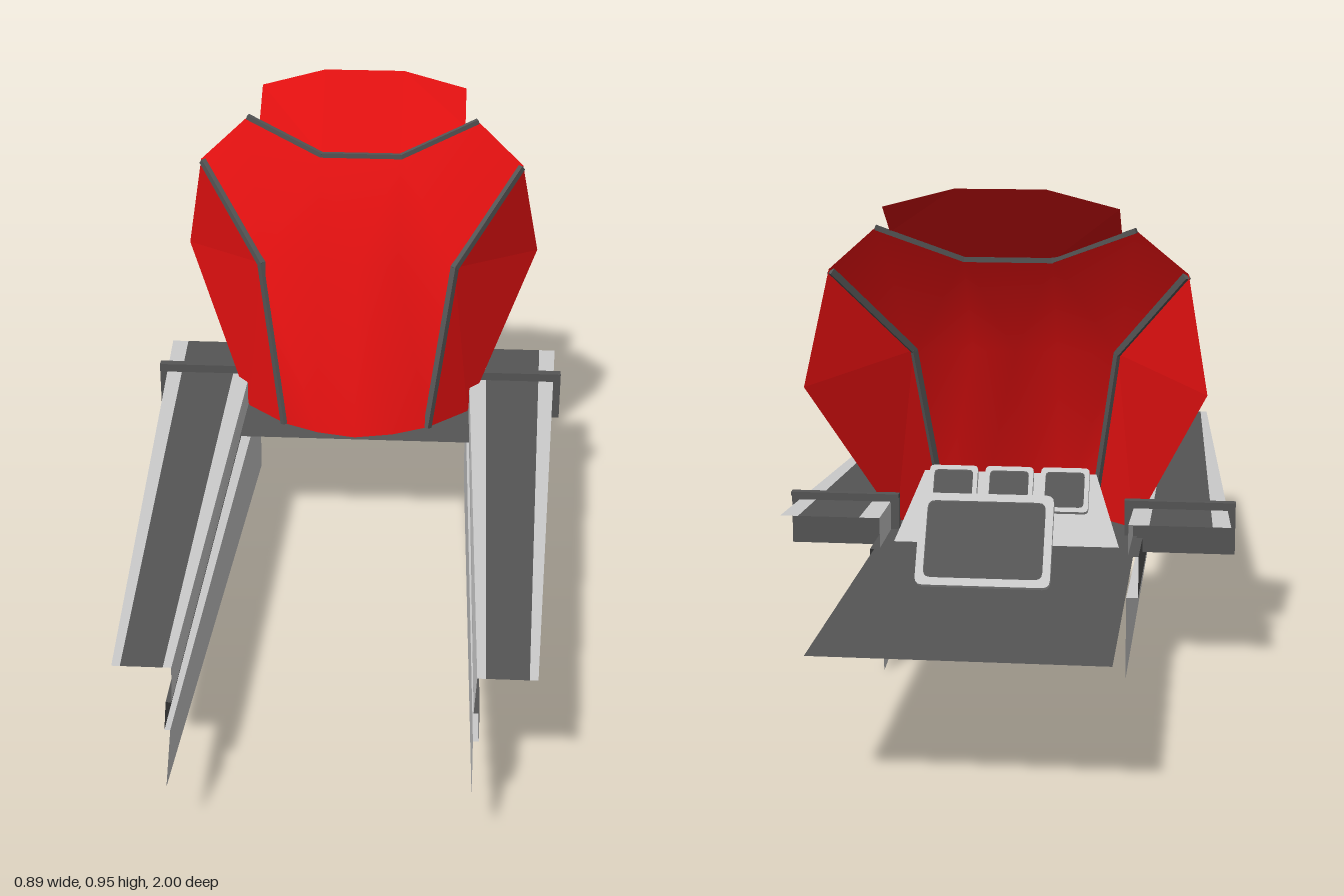
import * as THREE from 'three';

const LIGHT = 0xcccccc, DARK = 0x555555, RED = 0xe01010;
const material = (color, flatShading = true) =>
  new THREE.MeshStandardMaterial({ color, flatShading, side: THREE.DoubleSide });

// Thin panel from corner points and triangles
function panel(name, points, faces, color, flat = true) {
  const g = new THREE.BufferGeometry();
  g.setAttribute('position', new THREE.Float32BufferAttribute(points.flat(), 3));
  g.setIndex(faces.flat());
  g.computeVertexNormals();
  const mesh = new THREE.Mesh(g, material(color, flat));
  mesh.name = name;
  return mesh;
}

// Flat convex panel, corners anticlockwise seen from its front
function fan(name, points, color) {
  const faces = [];
  for (let i = 1; i < points.length - 1; i++) faces.push([0, i, i + 1]);
  return panel(name, points, faces, color);
}

// Square-section strip along a bent path
function strip(name, path, size = 0.013) {
  const group = new THREE.Group();
  group.name = name;
  for (let i = 0; i < path.length - 1; i++) {
    const a = new THREE.Vector3(...path[i]), b = new THREE.Vector3(...path[i + 1]);
    const bar = new THREE.Mesh(
      new THREE.BoxGeometry(size, size, a.distanceTo(b) + size * 0.4), material(DARK));
    bar.position.copy(a).add(b).multiplyScalar(0.5);
    bar.lookAt(b);
    bar.name = name + 'Segment';
    group.add(bar);
  }
  return group;
}

function roundedRect(Type, w, h, r) {
  const s = new Type(), x = w / 2, y = h / 2;
  s.moveTo(-x + r, -y);
  s.lineTo(x - r, -y).quadraticCurveTo(x, -y, x, -y + r);
  s.lineTo(x, y - r).quadraticCurveTo(x, y, x - r, y);
  s.lineTo(-x + r, y).quadraticCurveTo(-x, y, -x, y - r);
  s.lineTo(-x, -y + r).quadraticCurveTo(-x, -y, -x + r, -y);
  return s;
}

// Framed display tilted toward the rear
function display(name, w, h, border, x, y, z) {
  const group = new THREE.Group();
  group.name = name;
  const outline = roundedRect(THREE.Shape, w, h, border);
  outline.holes.push(roundedRect(THREE.Path, w - 2 * border, h - 2 * border, border));
  const frame = new THREE.Mesh(
    new THREE.ExtrudeGeometry(outline, { depth: 0.014, bevelEnabled: false, curveSegments: 3 }),
    material(LIGHT));
  frame.position.z = -0.007;
  frame.name = name + 'Frame';
  const pane = new THREE.Mesh(
    new THREE.PlaneGeometry(w - 1.6 * border, h - 1.6 * border), material(DARK));
  pane.name = name + 'Pane';
  group.add(frame, pane);
  group.rotation.set(-0.555, Math.PI, 0, 'YXZ');
  group.position.set(x, y, z);
  return group;
}

// One runner: deck, inner wall, recessed band and keel, lofted rear to front
function runner() {
  const group = new THREE.Group();
  group.name = 'runner';
  const rear = [
    [0.435, 0.318, -0.36], [0.4, 0.318, -0.36], [0.28, 0.318, -0.36], [0.24, 0.318, -0.36],
    [0.24, 0.255, -0.358], [0.26, 0.255, -0.358], [0.26, 0.172, -0.354], [0.237, 0.172, -0.354],
    [0.237, 0.005, -0.348]];
  const front = [
    [0.37, 0.285, 0.865], [0.355, 0.285, 0.865], [0.28, 0.285, 0.865], [0.265, 0.285, 0.865],
    [0.26, 0.245, 0.91], [0.27, 0.245, 0.91], [0.27, 0.205, 0.935], [0.26, 0.205, 0.935],
    [0.26, 0.135, 1]];
  const parts = [
    ['outerDeckEdge', LIGHT], ['deck', DARK], ['innerDeckEdge', LIGHT], ['innerWall', LIGHT],
    ['upperLedge', DARK], ['recessedBand', DARK], ['lowerLedge', LIGHT], ['keel', LIGHT]];
  parts.forEach(([name, color], i) =>
    group.add(fan(name, [rear[i], front[i], front[i + 1], rear[i + 1]], color)));
  return group;
}

// Parts of the +x side
function side() {
  const group = new THREE.Group();
  group.add(runner());

  const bracket = new THREE.Mesh(new THREE.BoxGeometry(0.218, 0.105, 0.008), material(DARK));
  bracket.position.set(0.334, 0.278, -0.215);
  bracket.name = 'crossBracket';
  const flange = new THREE.Mesh(new THREE.BoxGeometry(0.218, 0.008, 0.018), material(DARK));
  flange.position.set(0.334, 0.328, -0.22);
  flange.name = 'bracketFlange';
  group.add(bracket, flange);

  group.add(fan('sideWindow', [
    [0.205, 0.61, -0.147], [0.155, 0.26, -0.085], [0.24, 0.26, -0.165],
    [0.385, 0.57, -0.348], [0.345, 0.79, -0.287]], RED));
  group.add(strip('sideWindowStrip', [
    [0.155, 0.262, -0.086], [0.205, 0.61, -0.148], [0.34, 0.785, -0.285]]));
  return group;
}

export function createModel() {
  const model = new THREE.Group();
  model.name = 'cockpit';

  const left = side();
  left.name = 'leftSide';
  const right = side();
  right.name = 'rightSide';
  right.scale.x = -1;
  model.add(left, right);

  model.add(fan('floor', [
    [-0.25, 0.258, -0.025], [0.25, 0.258, -0.025], [0.25, 0.258, -1], [-0.25, 0.258, -1]], DARK));

  // Windshield: rows from the sill to the brow
  model.add(panel('windshield', [
    [-0.155, 0.26, -0.085], [-0.08, 0.26, -0.048], [0, 0.26, -0.03], [0.08, 0.26, -0.048], [0.155, 0.26, -0.085],
    [-0.205, 0.61, -0.147], [-0.085, 0.61, -0.143], [0, 0.61, -0.142], [0.085, 0.61, -0.143], [0.205, 0.61, -0.147],
    [-0.345, 0.79, -0.287], [-0.245, 0.877, -0.32], [-0.085, 0.81, -0.27],
    [0.085, 0.81, -0.27], [0.245, 0.877, -0.32], [0.345, 0.79, -0.287]], [
    [0, 1, 5], [1, 6, 5], [1, 2, 6], [2, 7, 6], [2, 3, 7], [3, 8, 7], [3, 4, 8], [4, 9, 8],
    [5, 11, 10], [5, 12, 11], [5, 6, 12], [6, 7, 12], [7, 13, 12], [7, 8, 13],
    [8, 9, 13], [9, 14, 13], [9, 15, 14]], RED, false));

  // Visor above the windshield
  model.add(panel('visor', [
    [-0.22, 0.866, -0.312], [-0.085, 0.81, -0.27], [0.085, 0.81, -0.27], [0.22, 0.866, -0.312],
    [-0.22, 0.923, -0.395], [-0.085, 0.958, -0.4], [0.085, 0.958, -0.4], [0.22, 0.923, -0.395]],
    [[0, 1, 4], [1, 5, 4], [1, 2, 5], [2, 6, 5], [2, 3, 6], [3, 7, 6]], RED));
  model.add(strip('visorStrip', [
    [-0.245, 0.875, -0.32], [-0.085, 0.811, -0.271], [0.085, 0.811, -0.271], [0.245, 0.875, -0.32]], 0.01));

  // Instrument console with a sloping rear face
  const top = [[-0.17, 0.385, -0.235], [0.17, 0.385, -0.235]];
  const foot = [[-0.22, 0.26, -0.315], [0.22, 0.26, -0.315]];
  const nose = [[-0.16, 0.34, -0.11], [0.16, 0.34, -0.11]];
  model.add(fan('consoleFace', [top[1], foot[1], foot[0], top[0]], LIGHT));
  model.add(fan('consoleTop', [nose[0], nose[1], top[1], top[0]], LIGHT));
  model.add(fan('consoleLeftCheek', [top[1], nose[1], foot[1]], LIGHT));
  model.add(fan('consoleRightCheek', [top[0], foot[0], nose[0]], LIGHT));
  for (const x of [-0.11, 0, 0.11])
    model.add(display('consoleDisplay', 0.095, 0.09, 0.009, x, 0.357, -0.262));

  // Large free-standing display
  model.add(display('rearDisplay', 0.24, 0.17, 0.014, 0, 0.357, -0.637));
  return model;
}
